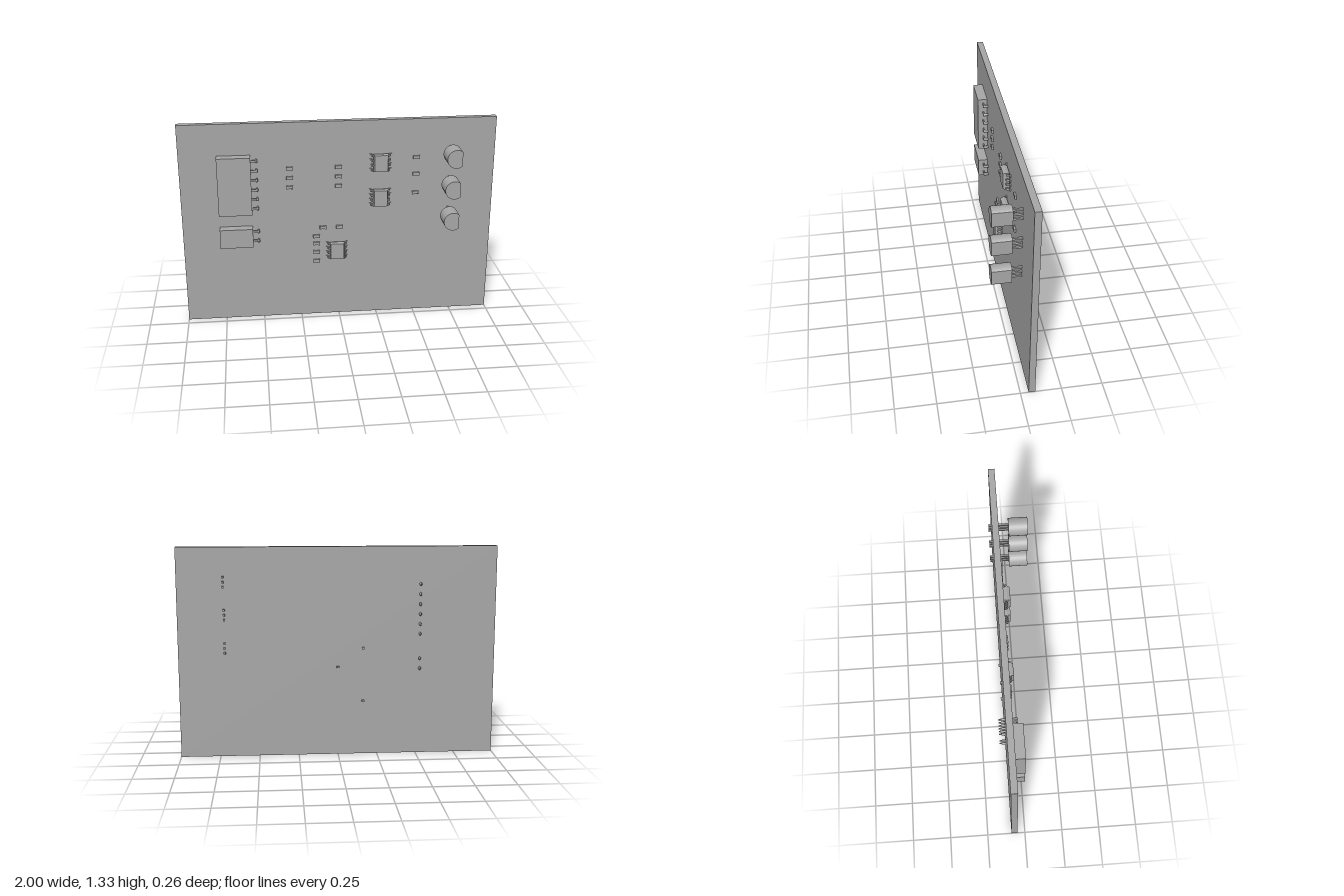
import * as THREE from 'three';

const grey = new THREE.MeshStandardMaterial({ color: 0xa8a8a8 });
grey.name = 'plain grey';

const FACE = -0.05; // front surface of the board
const BACK = -0.09; // rear surface of the board

function add(parent, name, geometry, x = 0, y = 0, z = 0) {
  const mesh = new THREE.Mesh(geometry, grey);
  mesh.name = name;
  mesh.position.set(x, y, z);
  parent.add(mesh);
  return mesh;
}

function group(parent, name, x = 0, y = 0) {
  const g = new THREE.Group();
  g.name = name;
  g.position.set(x, y, 0);
  parent.add(g);
  return g;
}

const box = (w, h, z0, z1) => new THREE.BoxGeometry(w, h, z1 - z0).translate(0, 0, (z0 + z1) / 2);

// Pin header block with right-angle pins passing through the board
function connector(parent, y0, y1, pinRows) {
  const g = group(parent, 'connector');
  add(g, 'connectorHousing', box(0.21, y1 - y0, FACE, 0.012), -0.66, (y0 + y1) / 2);
  const profile = [[0, -0.13], [0.004, -0.13], [0.011, -0.108], [0.011, -0.095], [0.009, BACK],
    [0.009, FACE], [0.011, -0.022], [0.007, -0.017], [0, -0.017]];
  const pin = new THREE.LatheGeometry(profile.map(([r, z]) => new THREE.Vector2(r, z)), 10)
    .rotateX(Math.PI / 2).scale(0.7, 1, 1);
  for (const y of pinRows) {
    add(g, 'pinArm', box(0.045, 0.014, -0.027, -0.019), -0.54, y);
    add(g, 'pinPost', pin, -0.519, y);
  }
}

// Chip package: body tapering away from its middle, with four bent leads per side
function chip(parent, x, y) {
  const g = group(parent, 'chip', x, y);
  const body = new THREE.BoxGeometry(0.096, 0.118, 0.039, 1, 1, 2).toNonIndexed();
  const p = body.attributes.position;
  for (let i = 0; i < p.count; i++) {
    const inset = Math.abs(p.getZ(i)) > 0.01 ? 0.006 : 0;
    p.setX(i, p.getX(i) - Math.sign(p.getX(i)) * inset);
    p.setY(i, p.getY(i) - Math.sign(p.getY(i)) * inset);
  }
  body.computeVertexNormals();
  add(g, 'chipBody', body, 0, 0, -0.0265);

  const lead = new THREE.Shape([
    [0.045, -0.023], [0.056, -0.023], [0.062, -0.043], [0.071, -0.043],
    [0.071, -0.05], [0.057, -0.05], [0.051, -0.03], [0.045, -0.03],
  ].map(([a, b]) => new THREE.Vector2(a, b)));
  const leadGeometry = new THREE.ExtrudeGeometry(lead, { depth: 0.014, bevelEnabled: false })
    .translate(0, 0, -0.007).rotateX(Math.PI / 2).scale(1, 1, 1);
  // after the turn the profile height lies along z
  for (const side of [0, Math.PI]) {
    for (const row of [-0.048, -0.016, 0.016, 0.048]) {
      const m = add(g, 'chipLead', leadGeometry, 0, row, 0);
      m.rotation.z = side;
    }
  }
}

// Small surface part: a slimmer core between two end caps
function surfacePart(parent, x, y) {
  const g = group(parent, 'surfacePart', x, y);
  add(g, 'partCore', box(0.03, 0.019, FACE, -0.039));
  for (const s of [-1, 1]) add(g, 'partEndCap', box(0.009, 0.022, FACE, -0.0375), s * 0.0165);
}

// D-shaped transistor standing off the board on three legs
function transistor(parent, x, y) {
  const g = group(parent, 'transistor', x, y);
  const a = Math.acos(0.037 / 0.059);
  const outline = new THREE.Shape();
  outline.absarc(0, 0, 0.059, a, Math.PI * 2 - a, false);
  outline.closePath();
  add(g, 'transistorBody',
    new THREE.ExtrudeGeometry(outline, { depth: 0.12, bevelEnabled: false, curveSegments: 28 }), 0, 0, 0.013);
  for (const dy of [-0.031, 0, 0.031]) add(g, 'transistorLeg', box(0.012, 0.012, -0.11, 0.015), 0, dy);
}

export function createModel() {
  const model = new THREE.Group();
  model.name = 'circuitBoard';

  add(model, 'board', box(2, 1.333, BACK, FACE), 0, 0.6665);

  connector(model, 0.75, 1.13, [1.097, 1.034, 0.97, 0.907, 0.844, 0.781]);
  connector(model, 0.53, 0.655, [0.623, 0.56]);

  for (const [x, y] of [[0.265, 1.059], [0.265, 0.824], [-0.014, 0.468]]) chip(model, x, y);

  for (const [x, y] of [[0.714, 1.117], [0.71, 0.913], [0.71, 0.702]]) transistor(model, x, y);

  const parts = [
    [-0.313, 1.035], [-0.313, 0.972], [-0.313, 0.909],
    [-0.003, 1.035], [-0.003, 0.972], [-0.003, 0.909],
    [0.494, 1.083], [0.494, 0.972], [0.494, 0.845],
    [-0.104, 0.626], [0.003, 0.626],
    [-0.147, 0.566], [-0.147, 0.515], [-0.147, 0.454], [-0.147, 0.391],
  ];
  for (const [x, y] of parts) surfacePart(model, x, y);

  // Short stubs on the rear face
  for (const [x, y] of [[-0.16, 0.692], [0, 0.573], [-0.16, 0.35]]) {
    add(model, 'rearStub', box(0.016, 0.012, -0.102, BACK), x, y);
  }
  return model;
}
